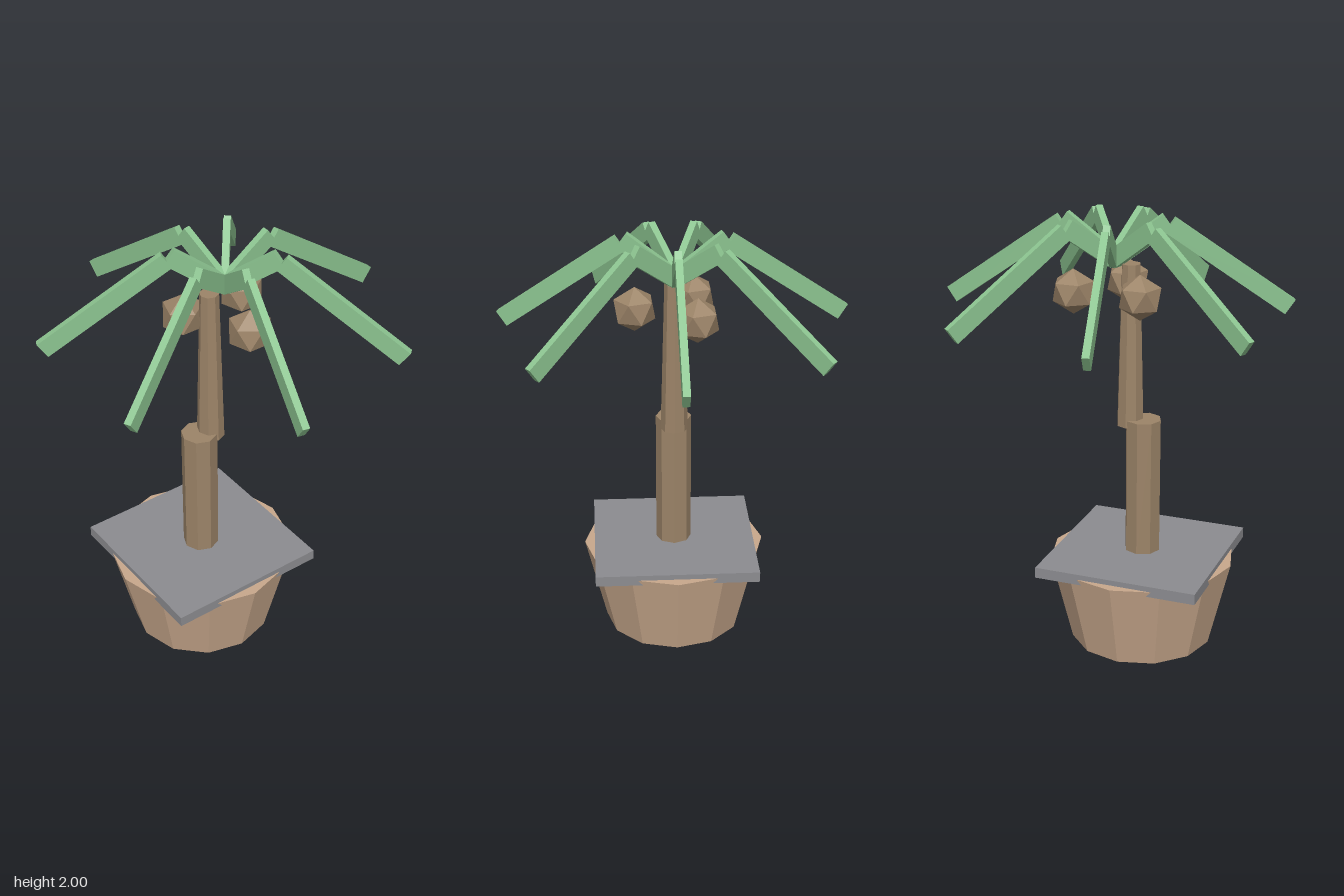
import * as THREE from 'three';

const mat = (color) => new THREE.MeshStandardMaterial({ color, flatShading: true });

export function createModel() {
  const model = new THREE.Group();
  const tan = mat(0xc8a88c), brown = mat(0x9c8468), green = mat(0x8cc490), grey = mat(0x8c8c90);
  const baseX = -0.18;   // axis of the pot and lower trunk
  const crownX = -0.035; // axis of the fronds and coconuts

  const add = (name, geometry, material, x, y, z, parent = model) => {
    const mesh = new THREE.Mesh(geometry, material);
    mesh.name = name;
    mesh.position.set(x, y, z);
    parent.add(mesh);
    return mesh;
  };

  // Pot with a square slab of soil
  add('pot', new THREE.CylinderGeometry(0.43, 0.33, 0.41, 12), tan, baseX, 0.205, 0);
  add('soilSlab', new THREE.BoxGeometry(0.76, 0.05, 0.765), grey, baseX, 0.41, 0);

  // Trunk in two offset pieces
  add('lowerTrunk', new THREE.CylinderGeometry(0.083, 0.083, 0.675, 8), brown, baseX, 0.7375, 0);
  add('upperTrunk', new THREE.CylinderGeometry(0.043, 0.063, 0.75, 8), brown, -0.117, 1.415, 0);

  // Seven bent fronds, each a rising stem and a drooping blade
  const tilt = THREE.MathUtils.degToRad(35);
  const stem = new THREE.BoxGeometry(0.29, 0.08, 0.032);
  const blade = new THREE.BoxGeometry(0.665, 0.08, 0.032);
  for (let i = 0; i < 7; i++) {
    const frond = new THREE.Group();
    frond.name = 'frond';
    frond.position.x = crownX;
    frond.rotation.y = (i / 7) * Math.PI * 2;
    add('frondStem', stem, green, 0.119, 1.884, 0, frond).rotation.z = tilt;
    add('frondBlade', blade, green, 0.52, 1.76, 0, frond).rotation.z = -tilt;
    model.add(frond);
  }

  // Three coconuts, each standing on a corner
  const nut = new THREE.IcosahedronGeometry(0.103, 0);
  nut.rotateZ(Math.atan(2 / (1 + Math.sqrt(5))));
  nut.rotateY(Math.PI / 2);
  for (let i = 0; i < 3; i++) {
    const a = Math.PI / 2 + (i / 3) * Math.PI * 2;
    add('coconut', nut, brown, crownX + 0.18 * Math.cos(a), 1.664, 0.18 * Math.sin(a));
  }

  return model;
}
